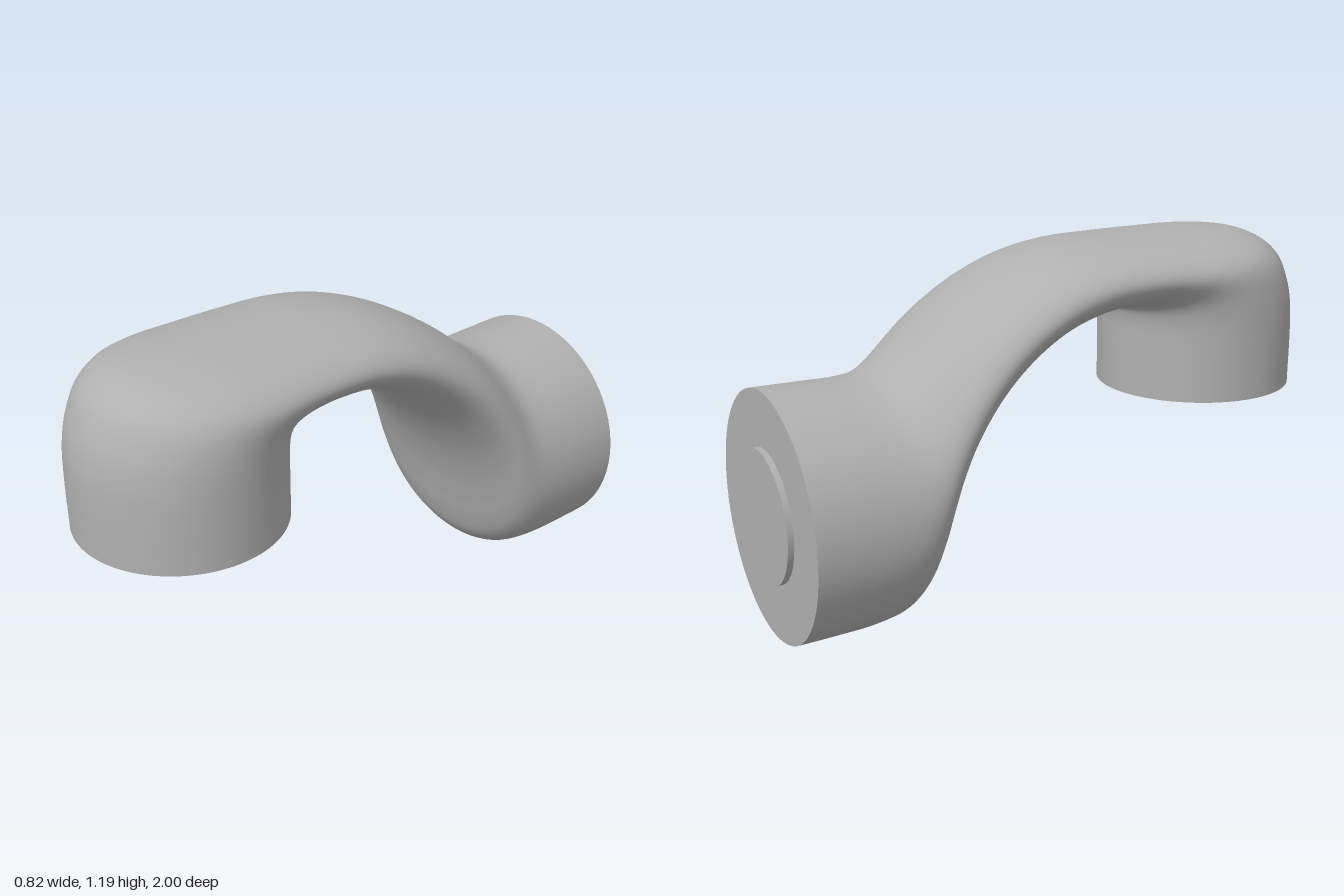
import * as THREE from 'three';

// Each cross-section: outer edge z, y; inner edge z, y; half-width
const SECTIONS = [
  [-0.98, 0.82, -0.98, 0.0, 0.41],
  [-0.82, 0.817, -0.84, 0.002, 0.41],
  [-0.7, 0.815, -0.72, 0.008, 0.409],
  [-0.64, 0.82, -0.62, 0.032, 0.407],
  [-0.6, 0.832, -0.565, 0.085, 0.403],
  [-0.555, 0.857, -0.53, 0.17, 0.397],
  [-0.51, 0.888, -0.505, 0.27, 0.39],
  [-0.46, 0.927, -0.47, 0.39, 0.38],
  [-0.39, 0.982, -0.41, 0.53, 0.368],
  [-0.3, 1.042, -0.31, 0.68, 0.355],
  [-0.18, 1.107, -0.18, 0.805, 0.342],
  [-0.03, 1.16, -0.04, 0.893, 0.334],
  [0.13, 1.186, 0.1, 0.94, 0.33],
  [0.3, 1.19, 0.2, 0.955, 0.332],
  [0.5, 1.19, 0.26, 0.955, 0.337],
  [0.7, 1.186, 0.29, 0.945, 0.346],
  [0.83, 1.165, 0.302, 0.93, 0.35],
  [0.92, 1.11, 0.307, 0.91, 0.35],
  [0.97, 1.02, 0.31, 0.88, 0.35],
  [0.993, 0.93, 0.31, 0.84, 0.35],
  [1.0, 0.83, 0.31, 0.78, 0.35],
  [1.0, 0.633, 0.31, 0.633, 0.35],
];

// Smooth loft of elliptical rings between the outer and inner edge curves
function loftGeometry(steps, sides) {
  const outer = new THREE.CatmullRomCurve3(SECTIONS.map(s => new THREE.Vector3(s[4], s[1], s[0])));
  const inner = new THREE.CatmullRomCurve3(SECTIONS.map(s => new THREE.Vector3(s[4], s[3], s[2])));
  const positions = [], indices = [];
  for (let i = 0; i <= steps; i++) {
    const o = outer.getPoint(i / steps), n = inner.getPoint(i / steps);
    for (let j = 0; j < sides; j++) {
      const a = (j / sides) * Math.PI * 2, k = (1 + Math.sin(a)) / 2;
      positions.push(o.x * Math.cos(a), n.y + (o.y - n.y) * k, n.z + (o.z - n.z) * k);
      if (i === steps) continue;
      const p = i * sides + j, q = i * sides + (j + 1) % sides;
      indices.push(p, q, p + sides, q, q + sides, p + sides);
    }
  }
  const geometry = new THREE.BufferGeometry();
  geometry.setAttribute('position', new THREE.Float32BufferAttribute(positions, 3));
  geometry.setIndex(indices);
  geometry.computeVertexNormals();
  return geometry;
}

export function createModel() {
  const group = new THREE.Group();
  const grey = new THREE.MeshStandardMaterial({ color: 0xb0b0b0 });
  grey.name = 'grey';

  function add(name, geometry, y, z, rotX) {
    const mesh = new THREE.Mesh(geometry, grey);
    mesh.name = name;
    mesh.position.set(0, y, z);
    mesh.rotation.x = rotX;
    group.add(mesh);
  }

  // Bent pipe body
  add('pipeBody', loftGeometry(126, 72), 0, 0, 0);

  // Flat end faces
  const backFace = new THREE.CircleGeometry(0.41, 72);
  backFace.rotateX(Math.PI);
  add('backEndFace', backFace, 0.41, -0.98, 0);
  const lowerFace = new THREE.CircleGeometry(1, 72);
  lowerFace.scale(0.35, 0.345, 1);
  add('lowerEndFace', lowerFace, 0.633, 0.655, Math.PI / 2);

  // Slightly raised round plugs on both end faces
  const plug = new THREE.CylinderGeometry(0.22, 0.22, 0.04, 64);
  add('backPlug', plug, 0.415, -0.98, Math.PI / 2);
  add('lowerPlug', plug, 0.632, 0.65, 0);

  return group;
}
